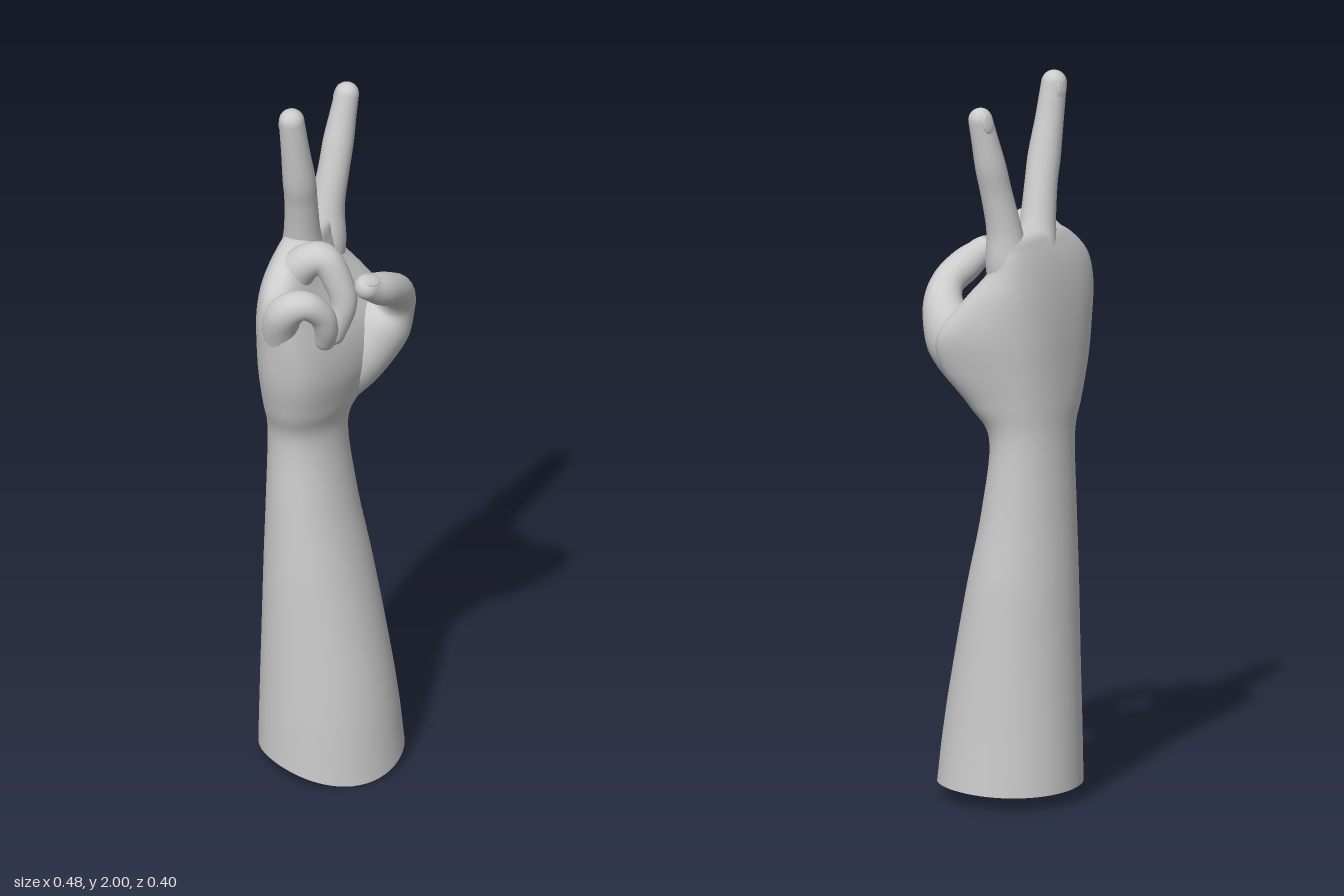
import * as THREE from 'three';

const V = (x, y, z) => new THREE.Vector3(x, y, z);
const material = new THREE.MeshStandardMaterial({ color: 0xcccccc, side: THREE.DoubleSide });
const spline = (pts) => new THREE.CatmullRomCurve3(pts, false, 'catmullrom', 0.5);

// Smooth skin through a stack of closed rings
function loft(name, rings) {
  const n = rings[0].length, index = [];
  for (let i = 0; i < rings.length - 1; i++) {
    for (let j = 0; j < n; j++) {
      const k = (j + 1) % n;
      const a = i * n + j, b = i * n + k, c = b + n, d = a + n;
      index.push(a, b, c, a, c, d);
    }
  }
  const geo = new THREE.BufferGeometry().setFromPoints(rings.flat());
  geo.setIndex(index);
  geo.computeVertexNormals();
  const mesh = new THREE.Mesh(geo, material);
  mesh.name = name;
  return mesh;
}

// Tapered tube with a rounded tip; each point is [x, y, z, radius]
function digit(name, pts, steps = 40, sides = 20) {
  const path = spline(pts.map((p) => V(p[0], p[1], p[2])));
  const radii = spline(pts.map((p) => V(p[3], 0, 0)));
  const normal = V(0.7, 0.1, 0.7), rings = [];
  const ring = (center, tangent, r) => {
    normal.addScaledVector(tangent, -normal.dot(tangent)).normalize();
    const binormal = tangent.clone().cross(normal);
    rings.push(Array.from({ length: sides }, (_, j) => {
      const a = (j / sides) * Math.PI * 2;
      return center.clone().addScaledVector(normal, r * Math.cos(a)).addScaledVector(binormal, r * Math.sin(a));
    }));
  };
  for (let i = 0; i <= steps; i++) {
    const t = i / steps;
    ring(path.getPoint(t), path.getTangent(t), radii.getPoint(t).x);
  }
  const end = path.getPoint(1), dir = path.getTangent(1), r = radii.getPoint(1).x;
  for (let i = 1; i <= 7; i++) {
    const a = (i / 7) * Math.PI * 0.497;
    ring(end.clone().addScaledVector(dir, r * Math.sin(a)), dir, r * Math.cos(a));
  }
  return loft(name, rings);
}

// Forearm and palm, on axes turned 45 degrees:
// [y, across min, across max, back, palm side, swelling towards the thumb]
function armAndPalm() {
  const sections = [
    [0.0, -0.205, 0.193, -0.195, 0.2, 0],
    [0.2, -0.2, 0.18, -0.19, 0.182, 0],
    [0.4, -0.19, 0.167, -0.184, 0.148, 0],
    [0.6, -0.18, 0.155, -0.178, 0.108, 0],
    [0.8, -0.166, 0.134, -0.17, 0.066, 0],
    [1.0, -0.155, 0.122, -0.165, 0.037, 0.005],
    [1.1, -0.187, 0.132, -0.169, 0.048, 0.05],
    [1.2, -0.216, 0.146, -0.17, 0.054, 0.108],
    [1.3, -0.232, 0.16, -0.17, 0.042, 0.125],
    [1.4, -0.24, 0.166, -0.165, 0.012, 0.07],
    [1.48, -0.222, 0.163, -0.154, -0.01, 0.015],
    [1.54, -0.165, 0.158, -0.138, -0.022, 0],
    [1.58, -0.09, 0.142, -0.118, -0.036, 0],
    [1.595, 0.03, 0.032, -0.076, -0.075, 0],
  ];
  const across = spline(sections.map((s) => V(s[0], s[1], s[2])));
  const depth = spline(sections.map((s) => V(s[3], s[4], s[5])));
  const rings = [], steps = 104, sides = 60;
  for (let i = 0; i <= steps; i++) {
    const { x: y, y: u0, z: u1 } = across.getPoint(i / steps);
    const { x: v0, y: v1, z: swell } = depth.getPoint(i / steps);
    // the palm is boxier than the round forearm
    const power = 1 - 0.17 * THREE.MathUtils.smoothstep(y, 1, 1.25);
    const soft = (c) => Math.sign(c) * Math.abs(c) ** power;
    rings.push(Array.from({ length: sides }, (_, j) => {
      const a = (j / sides) * Math.PI * 2 - Math.PI * 0.75;
      const v = (v0 + v1) / 2 + ((v1 - v0) / 2) * soft(Math.cos(a));
      const u = (u0 + u1) / 2 + ((u1 - u0) / 2) * soft(Math.sin(a));
      const z = (v - u) * Math.SQRT1_2;
      const x = (u + v) * Math.SQRT1_2 + swell * Math.exp(-(((a - Math.PI / 4) / 0.8) ** 2));
      // the open cut edge dips at the front
      const rim = z > 0 ? 0.043 * (1 - (z / 0.199) ** 2) : 0.043 - 0.008 * (z / 0.19) ** 2;
      return V(x, y + rim * Math.max(0, 1 - y / 0.2), z);
    }));
  }
  return loft('forearmAndPalm', rings);
}

// Thin oval fingernail, facing along the given direction
function nail(name, pos, facing, along) {
  const mesh = new THREE.Mesh(new THREE.SphereGeometry(1, 20, 12), material);
  const z = V(...facing).normalize();
  const x = V(...along).cross(z).normalize();
  mesh.quaternion.setFromRotationMatrix(new THREE.Matrix4().makeBasis(x, z.clone().cross(x), z));
  mesh.position.set(...pos);
  mesh.scale.set(0.02, 0.028, 0.006);
  mesh.name = name;
  return mesh;
}

export function createModel() {
  const hand = new THREE.Group();
  hand.name = 'hand';
  hand.add(
    armAndPalm(),
    // Raised fingers, slightly thicker at the joints
    digit('indexFinger', [
      [0.02, 1.38, -0.11, 0.05], [0.03, 1.5, -0.12, 0.06], [0.042, 1.6, -0.127, 0.048],
      [0.064, 1.7, -0.135, 0.043], [0.083, 1.78, -0.146, 0.042], [0.099, 1.85, -0.153, 0.037],
      [0.113, 1.912, -0.158, 0.033],
    ]),
    digit('middleFinger', [
      [-0.05, 1.38, -0.075, 0.05], [-0.058, 1.5, -0.06, 0.06], [-0.07, 1.6, -0.038, 0.049],
      [-0.083, 1.7, -0.016, 0.045], [-0.095, 1.77, 0.0, 0.045], [-0.112, 1.87, 0.013, 0.039],
      [-0.126, 1.965, 0.021, 0.035],
    ]),
    // Curled fingers
    digit('ringFinger', [
      [-0.12, 1.36, -0.01, 0.04], [-0.135, 1.46, 0.01, 0.06], [-0.105, 1.54, 0.052, 0.05],
      [-0.06, 1.562, 0.085, 0.044], [-0.028, 1.5, 0.108, 0.04], [-0.015, 1.43, 0.118, 0.037],
      [-0.04, 1.34, 0.105, 0.033],
    ]),
    digit('littleFinger', [
      [-0.17, 1.26, 0.065, 0.04], [-0.188, 1.37, 0.085, 0.052], [-0.187, 1.44, 0.12, 0.05],
      [-0.147, 1.469, 0.153, 0.041], [-0.1, 1.435, 0.158, 0.036], [-0.08, 1.385, 0.15, 0.033],
      [-0.075, 1.34, 0.13, 0.03],
    ]),
    // Thumb, bent across the palm
    digit('thumb', [
      [0.03, 1.06, -0.045, 0.04], [0.085, 1.17, -0.02, 0.075], [0.148, 1.275, -0.01, 0.085],
      [0.178, 1.35, 0.015, 0.06], [0.16, 1.41, 0.065, 0.046], [0.1, 1.45, 0.113, 0.046],
      [0.045, 1.482, 0.142, 0.036],
    ], 54),
    nail('indexNail', [0.097, 1.905, -0.184], [-0.55, 0.15, -0.8], [0.2, 1, -0.08]),
    nail('middleNail', [-0.142, 1.955, -0.004], [-0.6, 0.1, -0.75], [-0.15, 1, 0.12]),
    nail('thumbNail', [0.052, 1.507, 0.158], [0.3, 0.8, 0.45], [-0.8, 0.4, 0.4]),
  );
  return hand;
}
